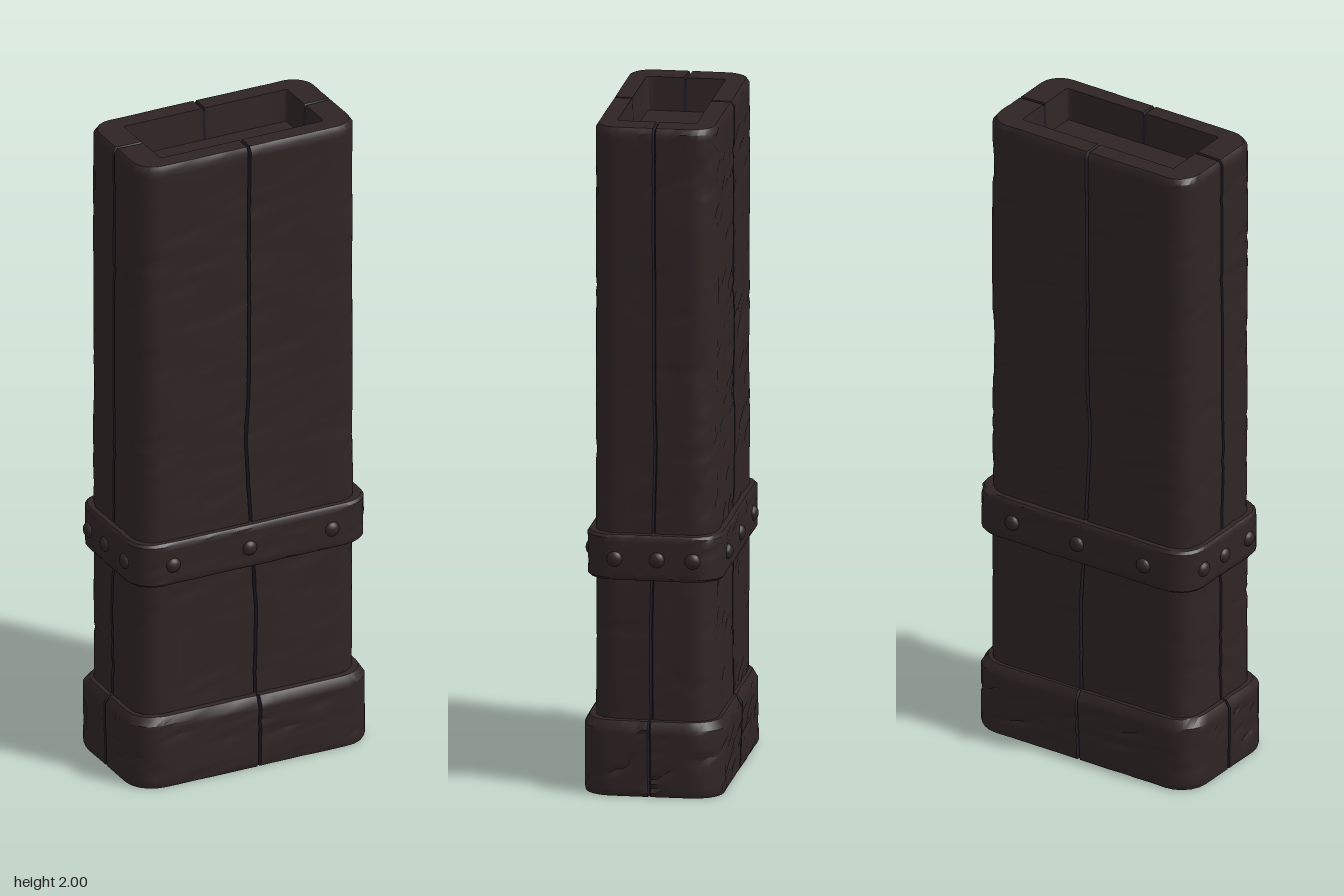
import * as THREE from 'three';
import { toCreasedNormals } from 'three/addons/utils/BufferGeometryUtils.js';

// Seeded smooth noise, used for the hand-carved surface
function hash(x, y, z) {
  const s = Math.sin(x * 127.1 + y * 311.7 + z * 74.7) * 43758.5453;
  return s - Math.floor(s);
}
function noise(x, y, z) {
  const c = [x, y, z].map(Math.floor);
  const f = [x - c[0], y - c[1], z - c[2]].map((t) => t * t * (3 - 2 * t));
  let sum = 0;
  for (let k = 0; k < 8; k++) {
    const b = [k & 1, (k >> 1) & 1, k >> 2];
    const w = b.reduce((p, v, i) => p * (v ? f[i] : 1 - f[i]), 1);
    sum += w * hash(c[0] + b[0], c[1] + b[1], c[2] + b[2]);
  }
  return sum;
}
// Shallow dents plus thin slanted gouges
function carve(x, y, z) {
  const dents = noise(x * 9, y * 6, z * 9) - 0.5;
  const ridge = Math.abs(noise(x * 11 + 7, y * 17 + x * 6, z * 11) - 0.5);
  return dents * 0.7 - (ridge < 0.06 ? 1 - ridge / 0.06 : 0) * 0.7;
}

// The joint between planks wanders slightly with height
const seamPath = [[0, 0.008], [0.5, 0.016], [0.75, 0.0], [1.05, -0.018], [1.2, -0.008], [2, -0.005]];
function seamOffset(y) {
  for (let i = 1; i < seamPath.length; i++) {
    const [y0, a] = seamPath[i - 1], [y1, b] = seamPath[i];
    if (y <= y1) return a + (b - a) * (y - y0) / (y1 - y0);
  }
  return seamPath[seamPath.length - 1][1];
}

// Positions along one side, -1..1, with three tight points for the joint
const STEPS = 12;
const sideParams = [];
for (let i = 0; i <= STEPS; i++) {
  const t = -1 + (2 * i) / STEPS;
  if (i === STEPS / 2) sideParams.push([0, -1], [0, 0], [0, 1]);
  else sideParams.push([t, null]);
}

// One rounded-rectangle section, running from +x towards +z
function section({ y, hx, hz, r, cx = 0, cz = 0, groove = 0, sink = 0, rough = 0 }) {
  const pts = [];
  for (let side = 0; side < 4; side++) {
    const a = (side * Math.PI) / 2;
    const n = [Math.round(Math.cos(a)), Math.round(Math.sin(a))];
    const t = [-n[1], n[0]];
    const along = side % 2 ? hx : hz, out = side % 2 ? hz : hx;
    const add = (u, d, nx, nz, mark) => {
      let x = n[0] * d + t[0] * u + cx, z = n[1] * d + t[1] * u + cz;
      const k = rough * carve(x, y, z) - (mark === 0 ? groove : 0);
      pts.push({ p: [x + nx * k, y - (mark === 0 ? sink : 0), z + nz * k], mark });
    };
    for (const [s, m] of sideParams) {
      const shift = seamOffset(y) * (side % 2 ? -t[0] * -1 : 0.4) * (1 - Math.abs(s));
      add(s * (along - r) + (m || 0) * 0.005 + shift, out, n[0], n[1], m);
    }
    for (let i = 1; i < 5; i++) {
      const b = (i * Math.PI) / 10, c = Math.cos(b), s = Math.sin(b);
      add(along - r + r * s, out - r + r * c, n[0] * c + t[0] * s, n[1] * c + t[1] * s, null);
    }
  }
  return pts;
}

// Skin a stack of sections; joint faces go in a second material group
function loft(sections, capBottom, capTop, materials, name) {
  const rings = sections.map(section), n = rings[0].length;
  const pos = [], main = [], joint = [];
  rings.forEach((ring) => ring.forEach((v) => pos.push(...v.p)));
  for (let j = 0; j < rings.length - 1; j++) {
    for (let i = 0; i < n; i++) {
      const k = (i + 1) % n;
      const a = j * n + i, b = j * n + k, c = a + n, d = b + n;
      const grooved = sections[j].groove && rings[j][i].mark !== null && rings[j][k].mark !== null;
      (grooved ? joint : main).push(a, c, b, b, c, d);
    }
  }
  const cap = (j, up) => {
    const s = sections[j], centre = pos.length / 3;
    pos.push(s.cx || 0, s.y, s.cz || 0);
    for (let i = 0; i < n; i++) {
      const a = j * n + i, b = j * n + ((i + 1) % n);
      main.push(centre, up ? b : a, up ? a : b);
    }
  };
  if (capBottom) cap(0, false);
  if (capTop) cap(rings.length - 1, true);
  const g = new THREE.BufferGeometry();
  g.setAttribute('position', new THREE.Float32BufferAttribute(pos, 3));
  g.setIndex([...main, ...joint]);
  g.addGroup(0, main.length, 0);
  if (joint.length) g.addGroup(main.length, joint.length, 1);
  const mesh = new THREE.Mesh(toCreasedNormals(g, 0.7), materials);
  mesh.name = name;
  return mesh;
}

export function createModel() {
  const model = new THREE.Group();
  model.name = 'woodenPost';
  const wood = new THREE.MeshStandardMaterial({ color: 0x2f2424 });
  wood.name = 'dark wood';
  const shade = new THREE.MeshStandardMaterial({ color: 0x1f1c24 });
  shade.name = 'joint shadow';
  const mats = [wood, shade];

  // Shaft: four planks with grooved joints, hollowed at the top
  const shaft = [];
  const body = { hx: 0.36, hz: 0.18, r: 0.07, cx: -0.004, groove: 0.012, rough: 0.007 };
  for (let i = 0; i <= 100; i++) shaft.push({ ...body, y: 0.1 + (1.885 * i) / 100 });
  shaft.push({ ...body, y: 2, hx: 0.35, hz: 0.171, r: 0.065, rough: 0.004, sink: 0.01 });
  const hollow = { hx: 0.268, hz: 0.117, r: 0.008, cx: -0.003, cz: 0.003, groove: 0.001 };
  shaft.push({ ...hollow, y: 2, sink: 0.008 });
  shaft.push({ ...hollow, y: 1.9, hx: 0.262, hz: 0.112, groove: 0 });
  model.add(loft(shaft, false, true, mats, 'shaft'));

  // Foot: thicker collar resting on the ground
  const foot = { hx: 0.389, hz: 0.208, r: 0.085, cx: -0.002, cz: 0.004, groove: 0.012, rough: 0.012 };
  const footRows = [{ ...foot, y: 0, hx: 0.385, hz: 0.204, rough: 0.003 }];
  for (let i = 0; i <= 14; i++) footRows.push({ ...foot, y: 0.012 + (0.19 * i) / 14 });
  footRows.push({ ...foot, y: 0.224, hx: 0.375, hz: 0.194, rough: 0.005 });
  footRows.push({ ...foot, y: 0.226, hx: 0.345, hz: 0.165, r: 0.06, rough: 0 });
  model.add(loft(footRows, true, false, mats, 'foot'));

  // Band: strap around the shaft
  const band = { hx: 0.385, hz: 0.202, r: 0.08, rough: 0.006 };
  const inner = { hx: 0.34, hz: 0.16, r: 0.06 };
  const bandRows = [{ ...inner, y: 0.648 }, { ...band, y: 0.648, hx: 0.379, hz: 0.196 }];
  for (let i = 0; i <= 8; i++) bandRows.push({ ...band, y: 0.656 + (0.12 * i) / 8 });
  bandRows.push({ ...band, y: 0.784, hx: 0.379, hz: 0.196 }, { ...inner, y: 0.784 });
  model.add(loft(bandRows, false, false, mats, 'band'));

  // Studs: domed nail heads on all four faces of the band
  const studs = new THREE.Group();
  studs.name = 'bandStuds';
  const dome = new THREE.SphereGeometry(0.024, 14, 8, 0, Math.PI * 2, 0, Math.PI / 2);
  dome.rotateX(Math.PI / 2);
  const addStud = (x, z, turn) => {
    const stud = new THREE.Mesh(dome, wood);
    stud.name = 'stud';
    stud.position.set(x, 0.712, z);
    stud.rotation.y = turn;
    stud.scale.z = 0.75;
    studs.add(stud);
  };
  for (const x of [-0.27, -0.02, 0.25]) addStud(x, 0.198, 0);
  for (const x of [-0.225, 0.01, 0.24]) addStud(x, -0.2, Math.PI);
  for (const s of [-1, 1]) {
    for (const z of [-0.12, -0.015, 0.11]) addStud(s * 0.38, z, (s * Math.PI) / 2);
  }
  model.add(studs);
  return model;
}
